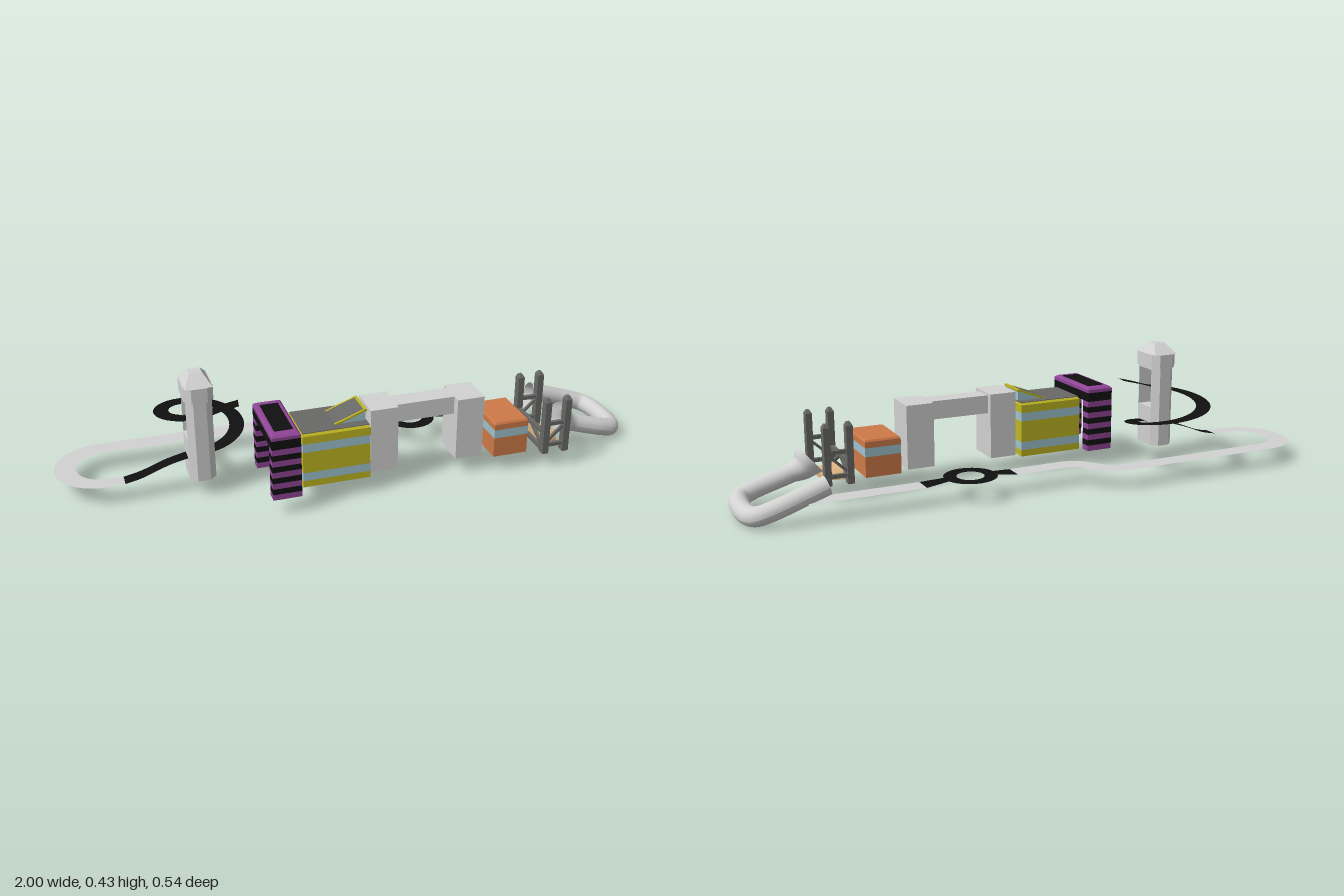
import * as THREE from 'three';

const mat = (name, color, side = THREE.DoubleSide) =>
  Object.assign(new THREE.MeshStandardMaterial({ color, side }), { name });
const V = (x, y, z) => new THREE.Vector3(x, y, z);

export function createModel() {
  const root = new THREE.Group();
  root.name = 'trackPlayset';
  const M = {
    grey: mat('lightGrey', 0xd2d2d2), dark: mat('darkGrey', 0x686866), yellow: mat('yellow', 0xbfb622),
    blue: mat('paleBlue', 0x9fc3cf), orange: mat('orange', 0xcf7a48), purple: mat('purple', 0x8f4596),
    black: mat('black', 0x101010), tan: mat('tan', 0xdcb480),
  };
  const group = (name) => {
    const g = new THREE.Group();
    g.name = name;
    root.add(g);
    return g;
  };
  const add = (parent, name, geometry, material) => {
    const m = new THREE.Mesh(geometry, material);
    m.name = name;
    parent.add(m);
    return m;
  };
  // Box given by its limits; skip lists faces left open (2 = top, 3 = bottom)
  const box = (parent, name, material, [x0, x1], [y0, y1], [z0, z1], skip = []) => {
    const g = new THREE.BoxGeometry(x1 - x0, y1 - y0, z1 - z0);
    g.translate((x0 + x1) / 2, (y0 + y1) / 2, (z0 + z1) / 2);
    g.setIndex([...g.index.array].filter((_, i) => !skip.includes(Math.floor(i / 6))));
    g.clearGroups();
    return add(parent, name, g, material);
  };
  // Upright prism from a footprint of [x, z] points
  const prism = (parent, name, material, pts, y0, y1) => {
    const s = new THREE.Shape(pts.map(([x, z]) => new THREE.Vector2(x, -z)));
    const g = new THREE.ExtrudeGeometry(s, { depth: y1 - y0, bevelEnabled: false });
    g.rotateX(-Math.PI / 2).translate(0, y0, 0);
    return add(parent, name, g, material);
  };
  // Four-sided frustum for chamfered tops
  const frustum = (parent, name, material, [cx, cz], [w, d], [w2, d2], y0, y1) => {
    const g = new THREE.CylinderGeometry(Math.SQRT1_2, Math.SQRT1_2, y1 - y0, 4).toNonIndexed();
    g.rotateY(Math.PI / 4);
    const p = g.attributes.position;
    for (let i = 0; i < p.count; i++) {
      const top = p.getY(i) > 0;
      p.setX(i, p.getX(i) * (top ? w2 : w));
      p.setZ(i, p.getZ(i) * (top ? d2 : d));
    }
    g.computeVertexNormals();
    g.translate(cx, (y0 + y1) / 2, cz);
    return add(parent, name, g, material);
  };
  // Bar between two points
  const bar = (parent, name, material, a, b, t) => {
    const m = add(parent, name, new THREE.BoxGeometry(t, t, a.distanceTo(b)), material);
    m.position.copy(a).lerp(b, 0.5);
    m.lookAt(b);
  };
  // Flat strip along a curve
  const ribbon = (parent, name, material, pts, n, width) => {
    const curve = new THREE.CatmullRomCurve3(pts, false, 'centripetal');
    const pos = [], idx = [];
    for (let i = 0; i <= n; i++) {
      const u = i / n, p = curve.getPointAt(u), t = curve.getTangentAt(u);
      const side = V(-t.z, 0, t.x).normalize().multiplyScalar(width(u) / 2);
      pos.push(p.x - side.x, p.y, p.z - side.z, p.x + side.x, p.y, p.z + side.z);
      if (i < n) idx.push(2 * i, 2 * i + 1, 2 * i + 2, 2 * i + 1, 2 * i + 3, 2 * i + 2);
    }
    const g = new THREE.BufferGeometry();
    g.setAttribute('position', new THREE.Float32BufferAttribute(pos, 3));
    g.setIndex(idx.flatMap((_, i) => (i % 3 ? [] : [idx[i], idx[i + 2], idx[i + 1]])));
    g.computeVertexNormals();
    add(parent, name, g, material);
  };

  // Striped gate: banded legs, crossbeam and chamfered cap
  const gate = group('stripedGate');
  const gx = [-0.35, -0.255];
  for (const z of [[0.013, 0.05], [0.232, 0.27]])
    for (let i = 0; i < 9; i++)
      box(gate, 'gateLegBand', i % 2 ? M.black : M.purple, gx, [0.057 + i * 0.02, 0.077 + i * 0.02], z);
  box(gate, 'gateBeam', M.black, gx, [0.237, 0.268], [0.013, 0.27]);
  box(gate, 'gateCap', M.purple, gx, [0.268, 0.279], [0.013, 0.27]);
  frustum(gate, 'gateCapBevel', M.purple, [-0.3025, 0.1415], [0.095, 0.257], [0.08, 0.24], 0.279, 0.286);
  box(gate, 'gateTopInlay', M.black, [-0.333, -0.272], [0.2855, 0.288], [0.045, 0.238]);

  // Yellow hall, hollow from below, with a grey roof and a wedge dormer
  const hall = group('yellowHall');
  const hx = [-0.238, -0.01], hz = [0.046, 0.224];
  [[0.06, 0.083, 'yellow'], [0.083, 0.112, 'blue'], [0.112, 0.186, 'yellow'], [0.186, 0.216, 'blue'],
    [0.216, 0.243, 'yellow']].forEach(([a, b, c]) => box(hall, 'hallWallBand', M[c], hx, [a, b], hz, [2, 3]));
  frustum(hall, 'hallRoofEdge', M.yellow, [-0.124, 0.135], [0.228, 0.178], [0.22, 0.164], 0.243, 0.25);
  box(hall, 'hallRoof', M.dark, [-0.236, -0.012], [0.249, 0.252], [0.053, 0.217]);
  const tri = new THREE.Shape([[-0.12, 0.25], [-0.015, 0.25], [-0.015, 0.288]].map((p) => new THREE.Vector2(...p)));
  add(hall, 'dormer', new THREE.ExtrudeGeometry(tri, { depth: 0.1, bevelEnabled: false }).translate(0, 0, 0.085), M.blue);
  ribbon(hall, 'dormerRoof', M.dark, [V(-0.12, 0.253, 0.135), V(-0.015, 0.292, 0.135)], 1, () => 0.1);
  for (const z of [0.085, 0.185])
    bar(hall, 'dormerTrim', M.yellow, V(-0.12, 0.25, z), V(-0.018, 0.288, z), 0.007);
  box(hall, 'dormerLip', M.yellow, [-0.022, -0.012], [0.284, 0.292], [0.082, 0.188]);

  // Two grey blocks joined by a raised bridge
  const bridge = group('bridge');
  box(bridge, 'bridgeTower', M.grey, [0, 0.095], [0.06, 0.287], [0.073, 0.197], [3]);
  box(bridge, 'bridgeTower', M.grey, [0.304, 0.4], [0.06, 0.28], [0.073, 0.197], [3]);
  box(bridge, 'bridgeDeck', M.grey, [0.095, 0.304], [0.217, 0.28], [0.095, 0.166]);

  // Orange booth, hollow from below
  const booth = group('orangeBooth');
  const bx = [0.432, 0.555];
  [[0.06, 0.13, 'orange'], [0.13, 0.16, 'blue'], [0.16, 0.18, 'orange']].forEach(([a, b, c]) =>
    box(booth, 'boothWallBand', M[c], bx, [a, b], hz, [2, 3]));
  frustum(booth, 'boothRoof', M.orange, [0.4935, 0.135], [0.123, 0.178], [0.115, 0.17], 0.18, 0.187);

  // Dark gantry: four posts with braces
  const gantry = group('gantry');
  for (const z of [0.03, 0.24]) {
    for (const x of [0.613, 0.688]) {
      box(gantry, 'post', M.dark, [x - 0.011, x + 0.011], [0.057, 0.25], [z - 0.014, z + 0.014]);
      frustum(gantry, 'postTip', M.dark, [x, z], [0.022, 0.028], [0.01, 0.014], 0.25, 0.262);
    }
    for (const y of [0.085, 0.165]) bar(gantry, 'sideRail', M.dark, V(0.613, y, z), V(0.688, y, z), 0.013);
    bar(gantry, 'sideBrace', M.dark, V(0.613, 0.09, z), V(0.688, 0.16, z), 0.009);
    bar(gantry, 'endBrace', M.dark, V(0.613, 0.07, z), V(0.613, 0.125, 0.135), 0.01);
  }
  for (const y of [0.066, 0.127]) bar(gantry, 'endRail', M.dark, V(0.613, y, 0.03), V(0.613, y, 0.24), 0.013);

  // Tan half-round catcher under the horn
  const catcher = new THREE.CylinderGeometry(0.05, 0.068, 0.07, 20, 1, false, 0, Math.PI);
  catcher.rotateZ(-Math.PI / 2).rotateX(0).scale(1, 0.62, 1);
  const cp = catcher.attributes.position;
  for (let i = 0; i < cp.count; i++) cp.setY(i, Math.abs(cp.getY(i)));
  catcher.computeVertexNormals();
  add(root, 'catcher', catcher.translate(0.657, 0.06, 0.13), M.tan);

  // Bent pipe with a flared mouth
  const path = new THREE.CatmullRomCurve3([V(0.718, 0.125, 0.123), V(0.745, 0.102, 0.122), V(0.785, 0.087, 0.12),
    V(0.9, 0.052, 0.12), V(0.947, 0.037, 0.106), V(0.965, 0.033, 0.065), V(0.965, 0.033, -0.07),
    V(0.947, 0.037, -0.108), V(0.9, 0.052, -0.122), V(0.73, 0.11, -0.122)], false, 'centripetal');
  const pipe = new THREE.TubeGeometry(path, 100, 0.0315, 24);
  const pp = pipe.attributes.position;
  for (let i = 0; i < pp.count; i++) {
    const u = Math.floor(i / 25) / 100, c = path.getPointAt(u);
    const k = 1 + 0.85 * Math.max(0, 1 - u / 0.11) ** 1.3;
    const v = V(0, 0, 0).fromBufferAttribute(pp, i).sub(c).multiplyScalar(k).add(c);
    pp.setXYZ(i, v.x, v.y, v.z);
  }
  pipe.computeVertexNormals();
  add(root, 'hornPipe', pipe, M.grey);

  // Flat track with a ring junction and an end loop
  const track = group('track');
  const y = 0.066, tz = -0.122;
  ribbon(track, 'entryTrack', M.grey, [V(0.8, y, tz), V(0.42, y, tz)], 2, () => 0.068);
  ribbon(track, 'ringApproach', M.black, [V(0.42, y, tz), V(0.335, 0.073, tz)], 2, (u) => 0.068 - 0.026 * u);
  ribbon(track, 'ringExit', M.black, [V(0.18, 0.073, tz), V(0.1, y, tz)], 2, (u) => 0.042 + 0.026 * u);
  add(track, 'junctionRing', new THREE.RingGeometry(0.046, 0.089, 40).rotateX(-Math.PI / 2)
    .translate(0.256, 0.074, tz), M.black);
  const loop = [V(0.1, y, tz), V(0, y, tz), V(-0.09, y, tz), V(-0.13, y, -0.132), V(-0.185, y, -0.2),
    V(-0.215, y, -0.226), V(-0.26, y, -0.237), V(-0.4, y, -0.237), V(-0.7, y, -0.237)];
  for (let i = 0; i <= 12; i++) {
    const a = (i / 12) * Math.PI;
    loop.push(V(-0.843 - 0.123 * Math.sin(a), y, -0.113 - 0.123 * Math.cos(a)));
  }
  loop.push(V(-0.785, y, 0.01));
  ribbon(track, 'loopTrack', M.grey, loop, 140, (u) => 0.07 - 0.02 * Math.max(0, (u - 0.85) / 0.15));

  // Black spiral climbing through the tower
  const spiral = [V(-0.785, y, 0.01), V(-0.73, 0.078, 0.01), V(-0.64, 0.112, 0.013), V(-0.57, 0.132, 0.02)];
  for (let i = 0; i <= 24; i++) {
    const a = (i / 24) * Math.PI * 2;
    spiral.push(V(-0.51 + 0.125 * Math.sin(a), 0.14 + (0.13 * i) / 24, -0.103 + 0.125 * Math.cos(a)));
  }
  spiral.push(V(-0.46, 0.285, 0.025), V(-0.4, 0.3, 0.033));
  ribbon(track, 'spiralTrack', M.black, spiral, 160, () => 0.05);

  // Chamfered tower with a window passing through
  const tower = group('tower');
  const [x0, x1, z0, z1, c] = [-0.577, -0.491, -0.047, 0.082, 0.022];
  const oct = (e) => [[x0 - e + c, z0 - e], [x1 + e - c, z0 - e], [x1 + e, z0 - e + c], [x1 + e, z1 + e - c],
    [x1 + e - c, z1 + e], [x0 - e + c, z1 + e], [x0 - e, z1 + e - c], [x0 - e, z0 - e + c]];
  prism(tower, 'towerBase', M.grey, oct(0), 0.06, 0.2);
  prism(tower, 'towerPier', M.grey, [[x0 + c, z0], [x1 - c, z0], [x1, z0 + c], [x1, -0.022], [x0, -0.022], [x0, z0 + c]], 0.2, 0.337);
  prism(tower, 'towerPier', M.grey, [[x0, 0.057], [x1, 0.057], [x1, z1 - c], [x1 - c, z1], [x0 + c, z1], [x0, z1 - c]], 0.2, 0.337);
  prism(tower, 'towerLintel', M.grey, oct(0), 0.337, 0.36);
  prism(tower, 'towerCap', M.grey, oct(0.005), 0.344, 0.393);
  frustum(tower, 'towerRoof', M.grey, [-0.534, 0.0175], [0.09, 0.132], [0.042, 0.04], 0.393, 0.428);
  return root;
}
